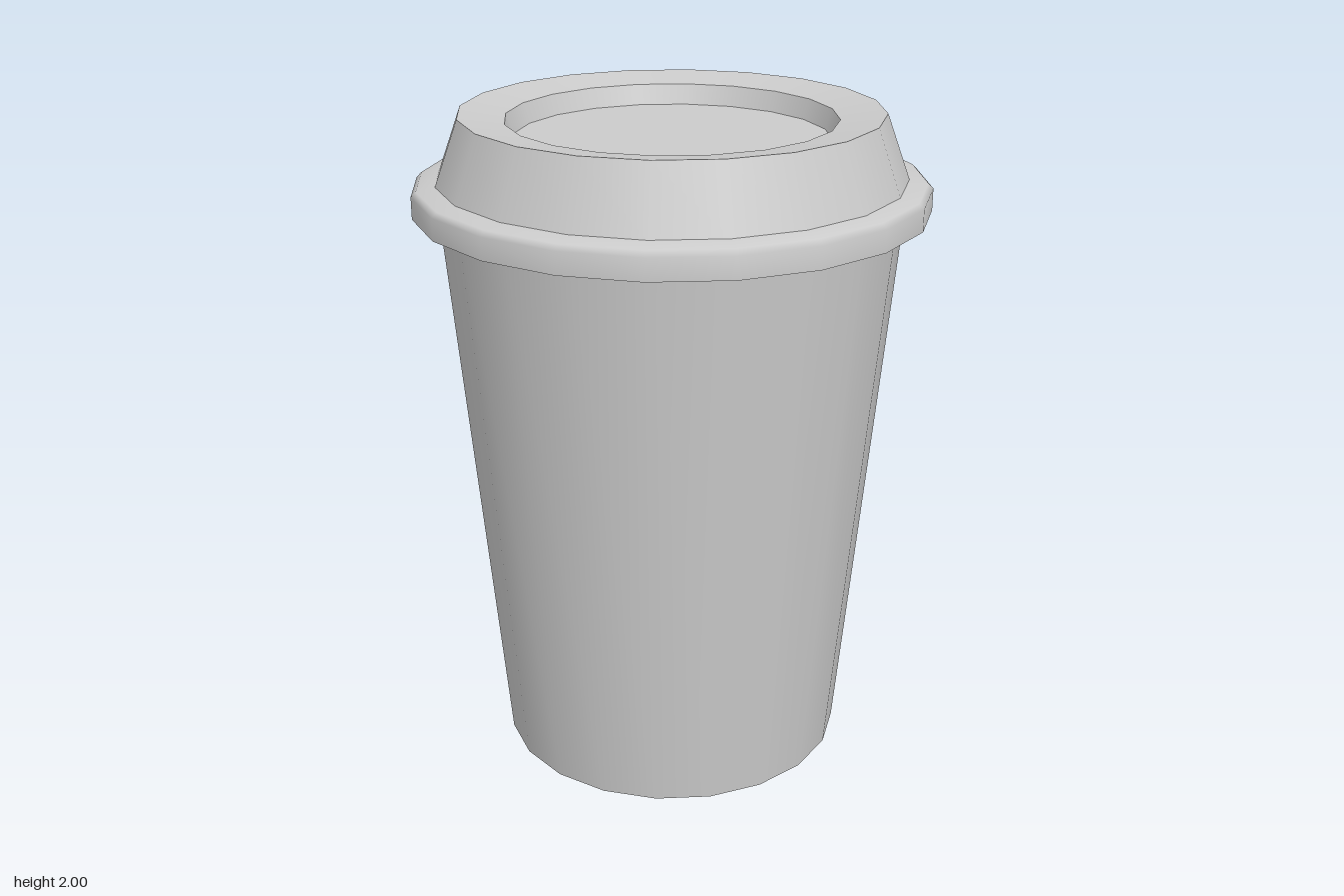
import * as THREE from 'three';

const SIDES = 20;
const material = new THREE.MeshStandardMaterial({ color: 0xcccccc });

// One smooth band of revolution; separate bands keep the edges between them sharp.
function band(name, ...profile) {
  const points = profile.map(([r, y]) => new THREE.Vector2(r, y));
  const mesh = new THREE.Mesh(new THREE.LatheGeometry(points, SIDES), material);
  mesh.name = name;
  return mesh;
}

function part(name, ...meshes) {
  const group = new THREE.Group();
  group.name = name;
  group.add(...meshes);
  return group;
}

export function createModel() {
  const model = new THREE.Group();
  model.name = 'takeawayCup';

  // Tapered cup, running up inside the lid
  const cup = part('cup',
    band('cupBase', [0, 0], [0.53, 0]),
    band('cupWall', [0.53, 0], [0.69, 1.805]),
  );

  // Lid with a hollow overhanging rim and a sunken top
  const lid = part('lid',
    band('rimInside', [0.685, 1.79], [0.72, 1.78], [0.74, 1.72]),
    band('rimLip', [0.74, 1.72], [0.76, 1.72]),
    band('rimOutside', [0.76, 1.72], [0.76, 1.785], [0.745, 1.8], [0.69, 1.81]),
    band('lidSlope', [0.69, 1.81], [0.62, 2]),
    band('lidTopRing', [0.62, 2], [0.485, 1.98]),
    band('recessWall', [0.485, 1.98], [0.465, 1.92]),
    band('recessFloor', [0.465, 1.92], [0, 1.92]),
  );

  model.add(cup, lid);
  return model;
}
